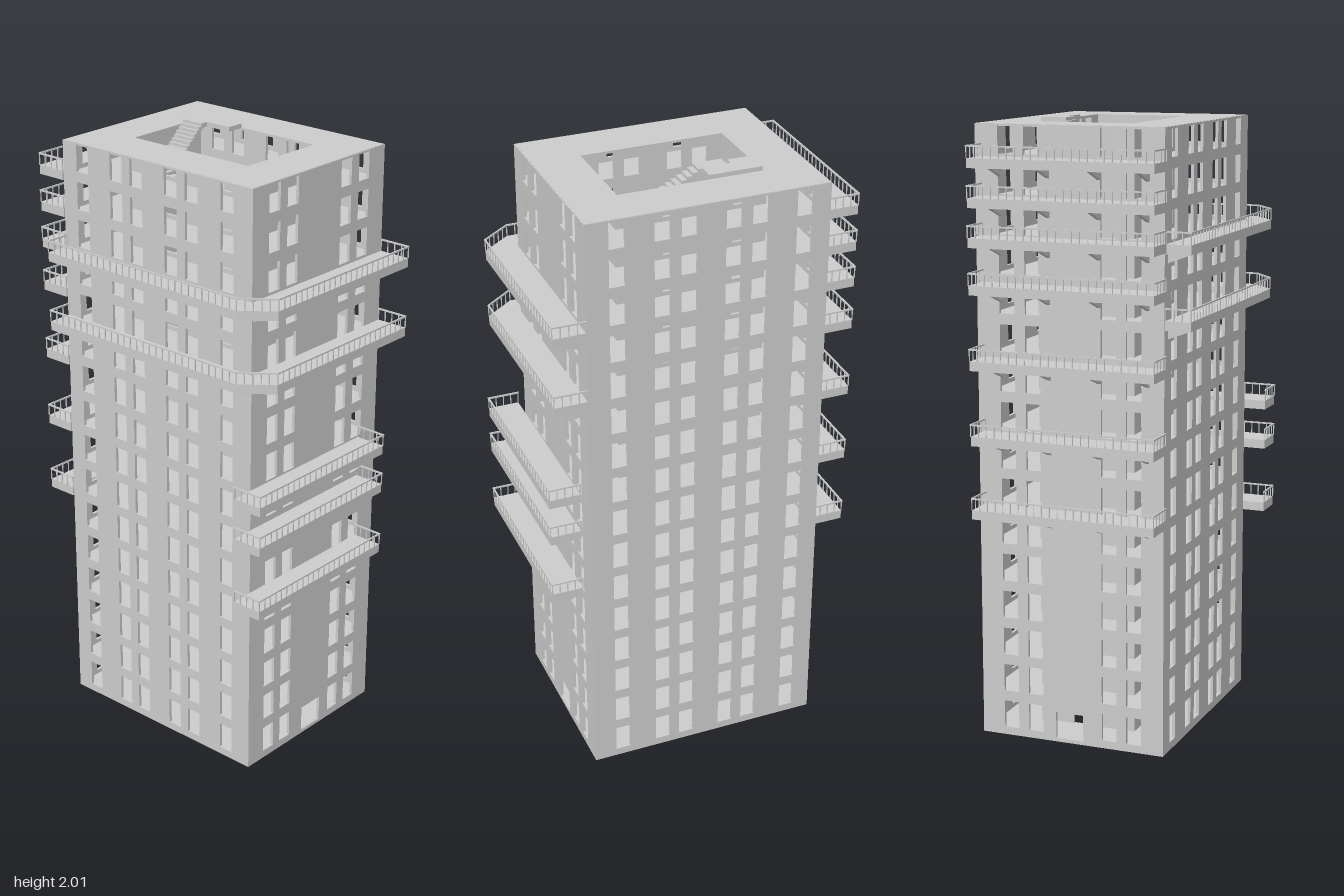
import * as THREE from 'three';
import { mergeGeometries } from 'three/addons/utils/BufferGeometryUtils.js';

const FLOORS = 16, STEP = 0.1245, TOP = 1.985;
const X0 = -0.275, X1 = 0.355, Z0 = -0.395, Z1 = 0.39; // outer walls
const CX0 = -0.11, CX1 = 0.2, CZ0 = -0.24, CZ1 = 0.23; // stair court
const mat = new THREE.MeshStandardMaterial({ color: 0xcccccc, flatShading: true });

function add(parent, name, geo) {
  const m = new THREE.Mesh(geo, mat);
  m.name = name;
  parent.add(m);
  return m;
}

// box given by its min and max corners
function box(x0, x1, y0, y1, z0, z1) {
  return new THREE.BoxGeometry(x1 - x0, y1 - y0, z1 - z0)
    .translate((x0 + x1) / 2, (y0 + y1) / 2, (z0 + z1) / 2);
}

const rectPoints = (a, b, c, d) => [[a, c], [b, c], [b, d], [a, d]].map(p => new THREE.Vector2(...p));

// upright panel in (u, y), pierced by window columns and an optional door
function panel(u0, u1, columns, door, depth) {
  const shape = new THREE.Shape(rectPoints(u0, u1, 0, TOP));
  for (const u of columns)
    for (let k = 0; k < FLOORS; k++) {
      const y = 0.026 + k * STEP;
      shape.holes.push(new THREE.Path(rectPoints(u, u + 0.051, y, y + 0.09)));
    }
  if (door) shape.holes.push(new THREE.Path(rectPoints(0, 0.095, 0.01, 0.1)));
  return new THREE.ExtrudeGeometry(shape, { depth, bevelEnabled: false });
}

// horizontal plate with outline in (x, z), top face at y
function plate(points, y, depth, hole) {
  const shape = new THREE.Shape(points);
  if (hole) shape.holes.push(new THREE.Path(hole));
  return new THREE.ExtrudeGeometry(shape, { depth, bevelEnabled: false })
    .rotateX(Math.PI / 2).translate(0, y, 0);
}

// handrail and pickets along a path of [x, z] points
function railing(path, y, h) {
  const parts = [];
  for (let i = 0; i + 1 < path.length; i++) {
    const [ax, az] = path[i], [bx, bz] = path[i + 1];
    const dx = bx - ax, dz = bz - az, len = Math.hypot(dx, dz);
    parts.push(new THREE.BoxGeometry(len + 0.005, 0.005, 0.005)
      .rotateY(-Math.atan2(dz, dx)).translate(ax + dx / 2, y + h - 0.0025, az + dz / 2));
    const n = Math.max(2, Math.round(len / 0.027));
    for (let k = 0; k <= n; k++)
      parts.push(new THREE.BoxGeometry(0.003, h, 0.003)
        .translate(ax + dx * k / n, y + h / 2, az + dz * k / n));
  }
  return mergeGeometries(parts);
}

// wedge bracket under a balcony, pointing outward at the given angle
function bracket(x, y, z, angle) {
  const s = new THREE.Shape([[0, 0], [0, -0.032], [0.085, 0]].map(p => new THREE.Vector2(...p)));
  return new THREE.ExtrudeGeometry(s, { depth: 0.012, bevelEnabled: false })
    .translate(0, 0, -0.006).rotateY(angle).translate(x, y, z);
}

// outline: slab corners; path: railed edge; y: underside
function balcony(parent, name, outline, path, y, brackets) {
  const g = new THREE.Group();
  g.name = name;
  add(g, 'balconySlab', plate(outline.map(p => new THREE.Vector2(...p)), y + 0.03, 0.03));
  add(g, 'balconyRailing', railing(path, y + 0.03, 0.04));
  add(g, 'balconyBrackets', mergeGeometries(brackets.map(([x, z, a]) => bracket(x, y, z, a))));
  parent.add(g);
}

function flight(parts, along, from, to, c0, c1, y0) {
  const n = 10, d = (to - from) / n;
  for (let i = 0; i < n; i++) {
    const a = Math.min(from + i * d, from + (i + 1) * d), b = a + Math.abs(d);
    const y = y0 + (i + 1) * 0.01;
    parts.push(along === 'x' ? box(a, b, y - 0.018, y, c0, c1) : box(c0, c1, y - 0.018, y, a, b));
  }
}

export function createModel() {
  const model = new THREE.Group();
  model.name = 'apartmentTower';
  const T = 0.01;

  // outer walls
  const frontCols = [-0.2, -0.116, 0.14, 0.227];
  const courtCols = [-0.191, -0.106, 0.037, 0.122];
  const sideCols = [-0.336, ...courtCols, 0.265];
  add(model, 'frontWall', panel(X0, X1, frontCols, true, T)).position.z = Z1 - T;
  add(model, 'backWall', panel(X0, X1, frontCols, true, T)).position.z = Z0;
  for (const [name, x] of [['rightWall', X0 + T], ['leftWall', X1]]) {
    const w = add(model, name, panel(Z0 + T, Z1 - T, sideCols, false, T));
    w.rotation.y = -Math.PI / 2;
    w.position.x = x;
  }

  // walls around the stair court
  add(model, 'courtFrontWall', panel(CX0, CX1, [], true, T)).position.z = CZ1;
  add(model, 'courtBackWall', panel(CX0, CX1, [], true, T)).position.z = CZ0 - T;
  for (const [name, x] of [['courtRightWall', CX0], ['courtLeftWall', CX1 + T]]) {
    const w = add(model, name, panel(CZ0 - T, CZ1 + T, courtCols, false, T));
    w.rotation.y = -Math.PI / 2;
    w.position.x = x;
  }

  // floors and roof, each a ring around the court
  const ring = rectPoints(X0 + 0.002, X1 - 0.002, Z0 + 0.002, Z1 - 0.002);
  const hole = rectPoints(CX0, CX1, CZ0, CZ1);
  for (let k = 0; k < FLOORS; k++)
    add(model, 'floor', plate(ring, k * STEP + 0.012, 0.012, hole));
  add(model, 'roof', plate(ring, TOP + 0.001, 0.008, hole));

  // square spiral stair: four flights and four landings per turn
  const stair = [];
  const L = (x0, x1, z0, z1, y) => stair.push(box(x0, x1, y - 0.015, y, z0, z1));
  for (let t = 0; t < 5; t++) {
    const y = t * 0.4;
    flight(stair, 'z', -0.065, 0.14, 0.14, CX1, y);
    L(0.07, CX1, 0.14, CZ1, y + 0.1);
    flight(stair, 'x', 0.07, -0.06, 0.14, CZ1, y + 0.1);
    L(CX0, -0.06, 0.03, CZ1, y + 0.2);
    flight(stair, 'z', 0.03, -0.16, CX0, -0.06, y + 0.2);
    L(CX0, 0.015, CZ0, -0.16, y + 0.3);
    flight(stair, 'x', 0.015, 0.125, CZ0, -0.16, y + 0.3);
    L(0.125, CX1, CZ0, -0.16, y + 0.4);
    L(0.14, CX1, -0.16, -0.065, y + 0.4);
  }
  add(model, 'stairs', mergeGeometries(stair));

  // straight balconies on the front
  const F = -Math.PI / 2, B = Math.PI / 2;
  const front = [[0.265, Z1], [0.265, 0.493], [-0.35, 0.493], [-0.35, Z1]];
  for (const y of [0.986, 0.848, 0.626])
    balcony(model, 'frontBalcony', front, front, y, [-0.205, -0.04, 0.07, 0.21].map(x => [x, Z1, F]));

  // balconies wrapping the front right corner
  const path = [[X1, Z1], [X1, 0.497], [-0.28, 0.497], [-0.358, 0.4], [-0.358, -0.39], [X0, -0.39]];
  const wrapBrackets = [
    ...[-0.265, -0.14, -0.055, 0.02, 0.12, 0.21, 0.345].map(x => [x, Z1, F]),
    ...[-0.36, -0.2, -0.04, 0.12, 0.28].map(z => [X0 + 0.005, z, Math.PI]),
  ];
  for (const y of [1.606, 1.372])
    balcony(model, 'cornerBalcony', [...path, [X0, Z1]], path, y, wrapBrackets);

  // balconies on the back
  const back = [[-0.28, Z0], [-0.28, -0.498], [0.335, -0.498], [0.335, Z0]];
  for (const y of [1.855, 1.733, 1.61, 1.463, 1.225, 0.985, 0.747])
    balcony(model, 'backBalcony', back, back, y, [-0.22, -0.06, 0.11, 0.27].map(x => [x, Z0, B]));

  return model;
}
